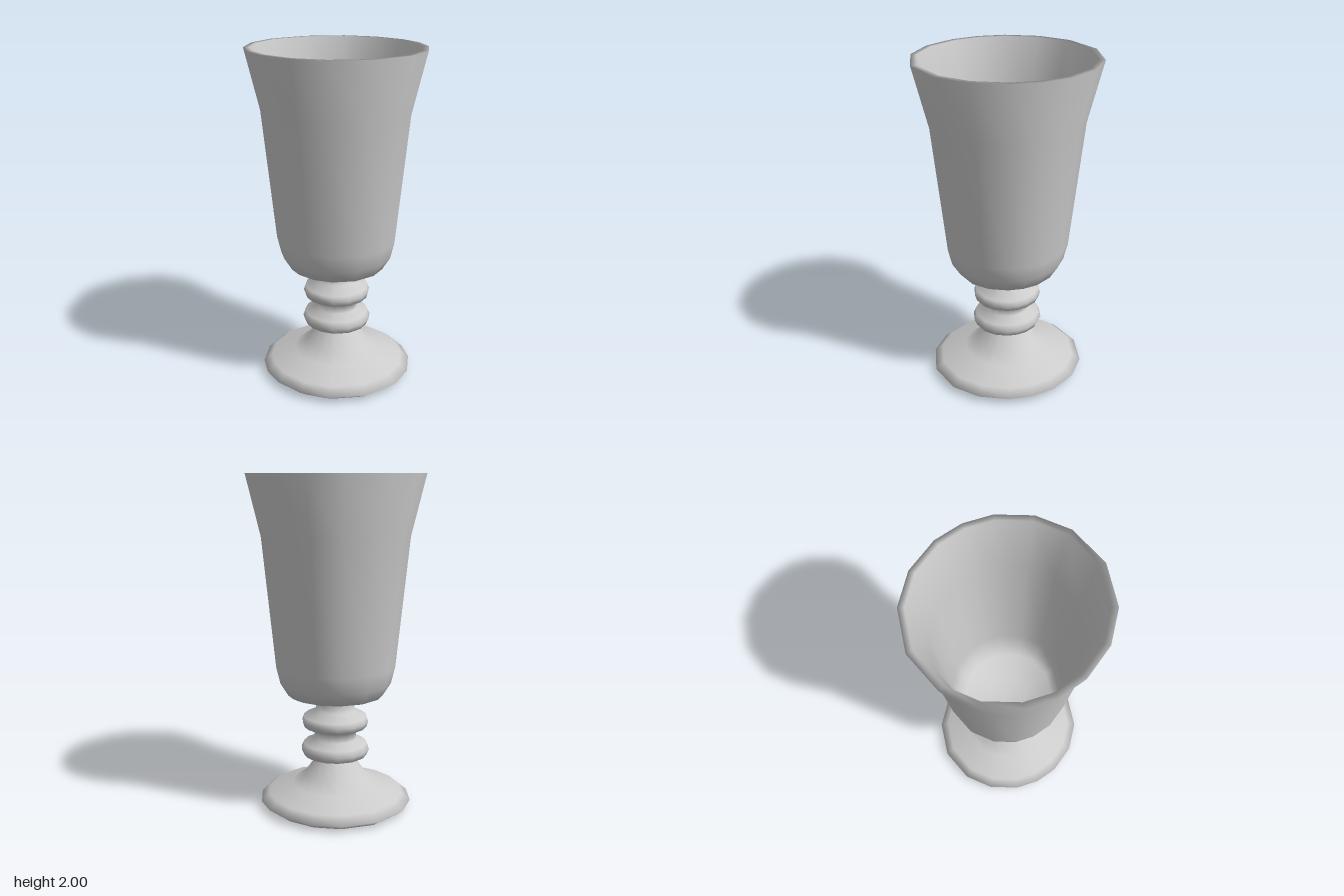
import * as THREE from 'three';
import { mergeVertices } from 'three/addons/utils/BufferGeometryUtils.js';

const SIDES = 16;
// uneven facet angles over one quarter turn, measured from the z axis
const QUARTER = [0, 27.4, 49.8, 72.2, 90].map(THREE.MathUtils.degToRad);

// mirror the quarter table around the full turn
function facetAngle(i) {
  const q = Math.floor(i / 4) % 4, k = i % 4;
  return q % 2 === 0
    ? q * Math.PI / 2 + QUARTER[k]
    : (q + 1) * Math.PI / 2 - QUARTER[4 - k];
}

// smooth, slightly oval lathe; profile runs from bottom to top on the outside
function turned(name, profile, material) {
  const points = profile.map(([r, y]) => new THREE.Vector2(r, y));
  let geo = new THREE.LatheGeometry(points, SIDES);
  const pos = geo.attributes.position;
  for (let i = 0; i < pos.count; i++) {
    const a = facetAngle(Math.floor(i / points.length) % SIDES);
    const r = points[i % points.length].x;
    pos.setX(i, r * Math.sin(a));
    pos.setZ(i, r * 1.042 * Math.cos(a));
  }
  // weld the seam so the shading is continuous
  geo.deleteAttribute('uv');
  geo.deleteAttribute('normal');
  geo = mergeVertices(geo, 1e-5);
  geo.computeVertexNormals();
  const mesh = new THREE.Mesh(geo, material);
  mesh.name = name;
  return mesh;
}

export function createModel() {
  const group = new THREE.Group();
  group.name = 'goblet';
  const material = new THREE.MeshStandardMaterial({ color: 0xcccccc, side: THREE.DoubleSide });

  // flared foot with a shallow hollow underneath
  group.add(turned('foot', [
    [0, 0.04], [0.3, 0.03], [0.38, 0.005], [0.407, 0], [0.457, 0.037], [0.407, 0.08],
    [0.26, 0.132], [0.185, 0.187], [0.116, 0.286],
  ], material));

  // stem with two turned rings
  group.add(turned('stem', [
    [0.116, 0.286], [0.19, 0.312], [0.206, 0.349], [0.19, 0.386], [0.127, 0.413],
    [0.127, 0.47], [0.19, 0.492], [0.2, 0.525], [0.19, 0.556], [0.116, 0.593], [0.116, 0.645],
  ], material));

  // hollow cup: outer wall, rim, inner wall
  group.add(turned('cup', [
    [0.116, 0.645], [0.286, 0.695], [0.333, 0.772], [0.357, 0.873], [0.434, 1.645], [0.518, 2],
    [0.484, 2], [0.402, 1.65], [0.328, 0.885], [0.304, 0.795], [0.262, 0.73], [0.11, 0.685], [0, 0.68],
  ], material));

  return group;
}
